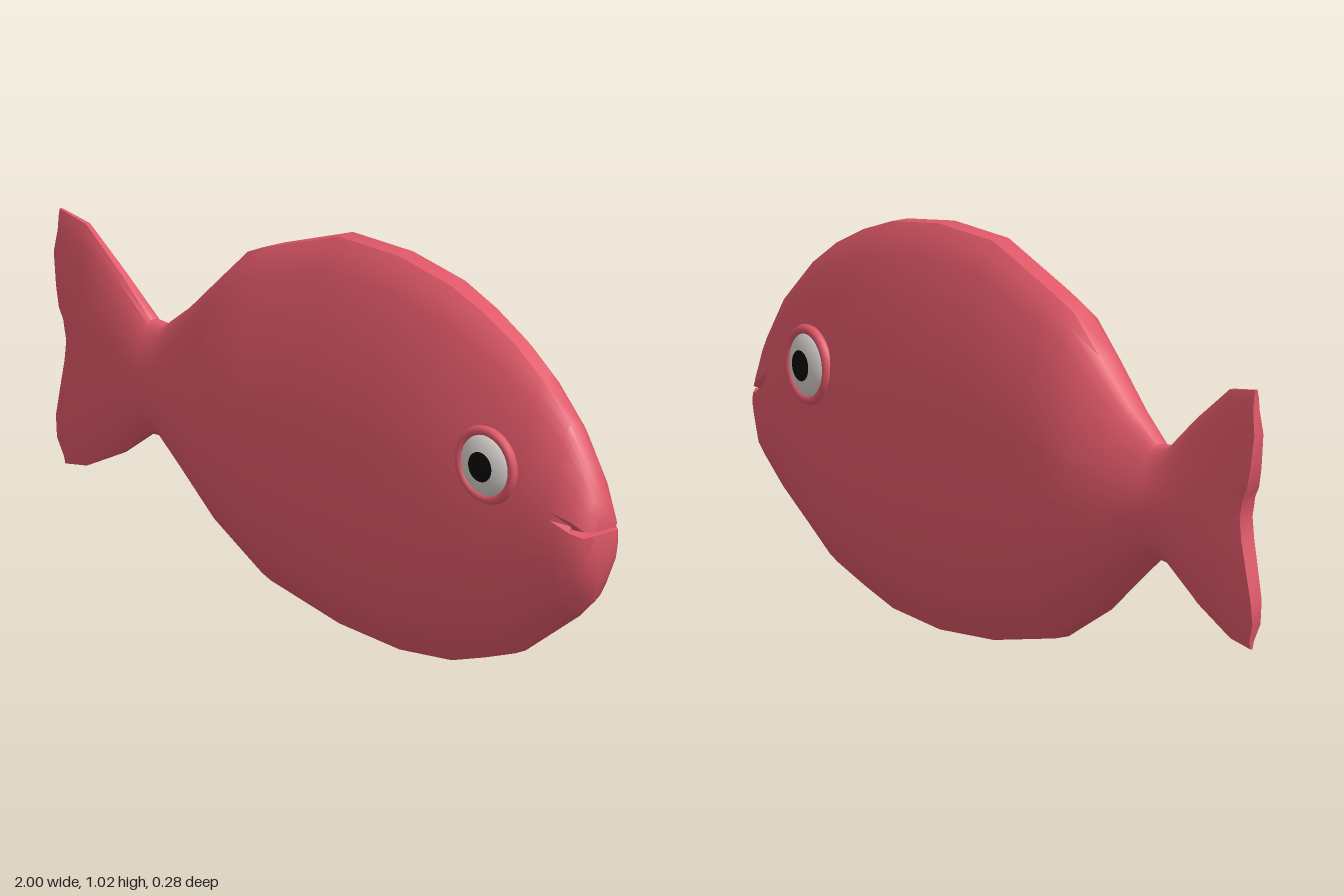
import * as THREE from 'three';
import { toCreasedNormals } from 'three/addons/utils/BufferGeometryUtils.js';

// Body stations from tail to snout: x, bottom y, top y, half width
const STATIONS = [
  [-0.99, 0.165, 0.82, 0.02], [-0.89, 0.18, 0.805, 0.035], [-0.76, 0.245, 0.71, 0.05],
  [-0.65, 0.325, 0.618, 0.062], [-0.6, 0.33, 0.615, 0.07], [-0.5, 0.255, 0.69, 0.093],
  [-0.38, 0.16, 0.8, 0.122], [-0.28, 0.105, 0.892, 0.134], [-0.2, 0.06, 0.925, 0.137],
  [0.05, 0.012, 1.015, 0.138], [0.27, 0, 1.02, 0.14], [0.46, 0.02, 0.992, 0.139],
  [0.58, 0.057, 0.95, 0.127], [0.69, 0.095, 0.897, 0.114], [0.79, 0.165, 0.83, 0.1],
  [0.89, 0.235, 0.735, 0.088], [0.95, 0.29, 0.645, 0.074], [0.982, 0.36, 0.57, 0.058],
  [0.998, 0.42, 0.53, 0.038],
];

// Cross-section rows: height fraction, width fraction
const ROWS = [
  [0, 0.15], [0.03, 0.36], [0.1, 0.62], [0.19, 0.86], [0.32, 0.95], [0.42, 1], [0.5, 0.99],
  [0.54, 0.98], [0.58, 0.96], [0.62, 0.94], [0.7, 0.86], [0.83, 0.7], [0.92, 0.5],
  [0.97, 0.36], [1, 0.18],
];
const MOUTH_ROW = 8;

function bodyGeometry() {
  const n = ROWS.length, loop = 2 * n, last = STATIONS.length - 1;
  const pos = [], index = [];
  const quad = (a, b, c, d) => index.push(a, b, c, a, c, d);

  STATIONS.forEach(([sx, bottom, top, width], j) => {
    for (let k = 0; k < loop; k++) {
      const row = k < n ? k : loop - 1 - k;
      const [v, f] = ROWS[row];
      let x = sx, w = width * f;
      // forked trailing edge of the tail
      if (j === 0) {
        x += 0.045 * Math.max(0, 1 - Math.abs(v - 0.48) / 0.3);
        x += v < 0.05 ? 0.02 : v > 0.6 && v < 0.9 ? -0.01 : 0;
      }
      // mouth groove
      if (j >= last - 2 && row === MOUTH_ROW) {
        x = [0.938, 0.932, 0.925][j - last + 2];
        w *= 0.85;
      }
      pos.push(x, bottom + (top - bottom) * v, k < n ? w : -w);
    }
  });

  for (let j = 0; j < last; j++) {
    for (let k = 0; k < loop; k++) {
      const m = (k + 1) % loop;
      quad(j * loop + k, (j + 1) * loop + k, (j + 1) * loop + m, j * loop + m);
    }
  }
  // close the snout and the tail edge
  for (let i = 0; i < n - 1; i++) {
    const l = i, r = loop - 1 - i, s = last * loop;
    quad(s + l, s + r, s + r - 1, s + l + 1);
    quad(r, l, l + 1, r - 1);
  }

  const g = new THREE.BufferGeometry();
  g.setAttribute('position', new THREE.Float32BufferAttribute(pos, 3));
  g.setIndex(index);
  return toCreasedNormals(g, 0.6);
}

// Shallow domed part of the eye, between two angles from its centre
function dome(radius, depth, from, to) {
  return new THREE.SphereGeometry(1, 28, 10, 0, Math.PI * 2, from, to - from)
    .rotateX(Math.PI / 2).scale(radius, radius, depth);
}

export function createModel() {
  const skin = new THREE.MeshStandardMaterial({ color: 0xdf5868 });
  skin.name = 'red skin';
  const white = new THREE.MeshStandardMaterial({ color: 0xd6d0cc });
  white.name = 'eye white';
  const black = new THREE.MeshStandardMaterial({ color: 0x080808 });
  black.name = 'pupil black';

  const fish = new THREE.Group();
  fish.name = 'fish';
  const add = (parent, name, geometry, material) => {
    const mesh = new THREE.Mesh(geometry, material);
    mesh.name = name;
    parent.add(mesh);
    return mesh;
  };

  add(fish, 'body', bodyGeometry(), skin);

  // Eyes with raised lids, one on each flank
  for (const side of [1, -1]) {
    const eye = new THREE.Group();
    eye.name = side > 0 ? 'leftEye' : 'rightEye';
    add(eye, 'eyeWhite', dome(0.085, 0.036, 0.47, Math.PI / 2), white);
    add(eye, 'pupil', dome(0.085, 0.036, 0, 0.47), black);
    const lid = add(eye, 'eyelid', new THREE.TorusGeometry(0.088, 0.013, 8, 32), skin);
    lid.position.z = 0.008;
    eye.position.set(0.685, 0.603, side * 0.102);
    eye.rotation.y = side > 0 ? 0.1 : Math.PI - 0.1;
    fish.add(eye);
  }
  return fish;
}
